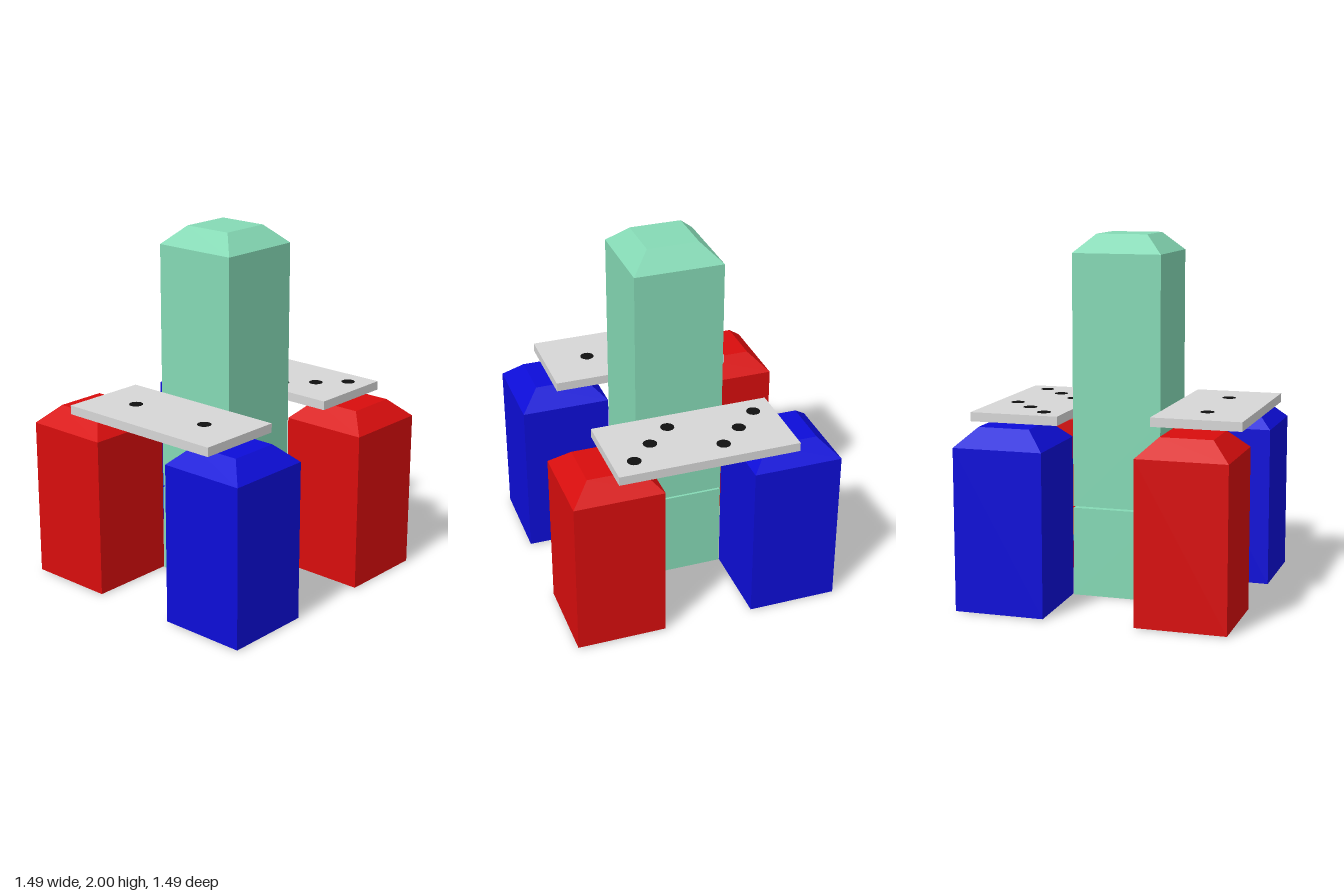
import * as THREE from 'three';

const paint = (name, color) => {
  const m = new THREE.MeshStandardMaterial({ color, flatShading: true });
  m.name = name;
  return m;
};

export function createModel() {
  const model = new THREE.Group();
  const green = paint('mint green', 0x85d9b5);
  const red = paint('red', 0xd80d0d);
  const blue = paint('blue', 0x0d0dd8);
  const grey = paint('light grey', 0xd6d6d6);
  const black = paint('black', 0x101010);

  const add = (parent, name, geometry, material, x, y, z) => {
    const mesh = new THREE.Mesh(geometry, material);
    mesh.name = name;
    mesh.position.set(x, y, z);
    parent.add(mesh);
  };

  // Square post with a chamfered top
  const post = (half, bottom, top) => {
    const profile = [[0, bottom], [half, bottom], [half, top - 0.1], [half - 0.105, top], [0, top]]
      .map(([r, y]) => new THREE.Vector2(r * Math.SQRT2, y));
    return new THREE.LatheGeometry(profile, 4, Math.PI / 4);
  };

  // Central tower: three plain blocks and a chamfered one on top
  const tower = new THREE.Group();
  tower.name = 'tower';
  [[0.005, 0.5], [0.51, 1.0], [1.0, 1.505]].forEach(([low, high]) =>
    add(tower, 'towerBlock', new THREE.BoxGeometry(0.496, high - low, 0.496), green, 0, (low + high) / 2, 0));
  add(tower, 'towerTop', post(0.248, 1.505, 2), green, 0, 0, 0);
  model.add(tower);

  // Four corner posts, colours alternating across the diagonals
  for (const x of [-1, 1]) {
    for (const z of [-1, 1]) {
      add(model, 'cornerPost', post(0.2475, 0.01, 1), x * z > 0 ? red : blue, x * 0.4975, 0, z * 0.4975);
    }
  }

  // Spotted planks; the spots run right through
  const plank = (name, x, y, z, spots) => {
    const group = new THREE.Group();
    group.name = name;
    add(group, 'board', new THREE.BoxGeometry(0.495, 0.05, 1), grey, x, y, z);
    for (const [sx, sz] of spots) {
      add(group, 'spot', new THREE.CylinderGeometry(0.038, 0.038, 0.054, 16), black, sx, y, sz);
    }
    model.add(group);
  };
  plank('leftPlank', 0.4975, 1.026, 0, [
    [0.365, -0.385], [0.495, -0.25], [0.62, -0.115],
    [0.367, 0.11], [0.493, 0.25], [0.625, 0.38],
  ]);
  plank('rightPlank', -0.4975, 1.04, 0.047, [[-0.497, -0.203], [-0.497, 0.297]]);

  return model;
}
